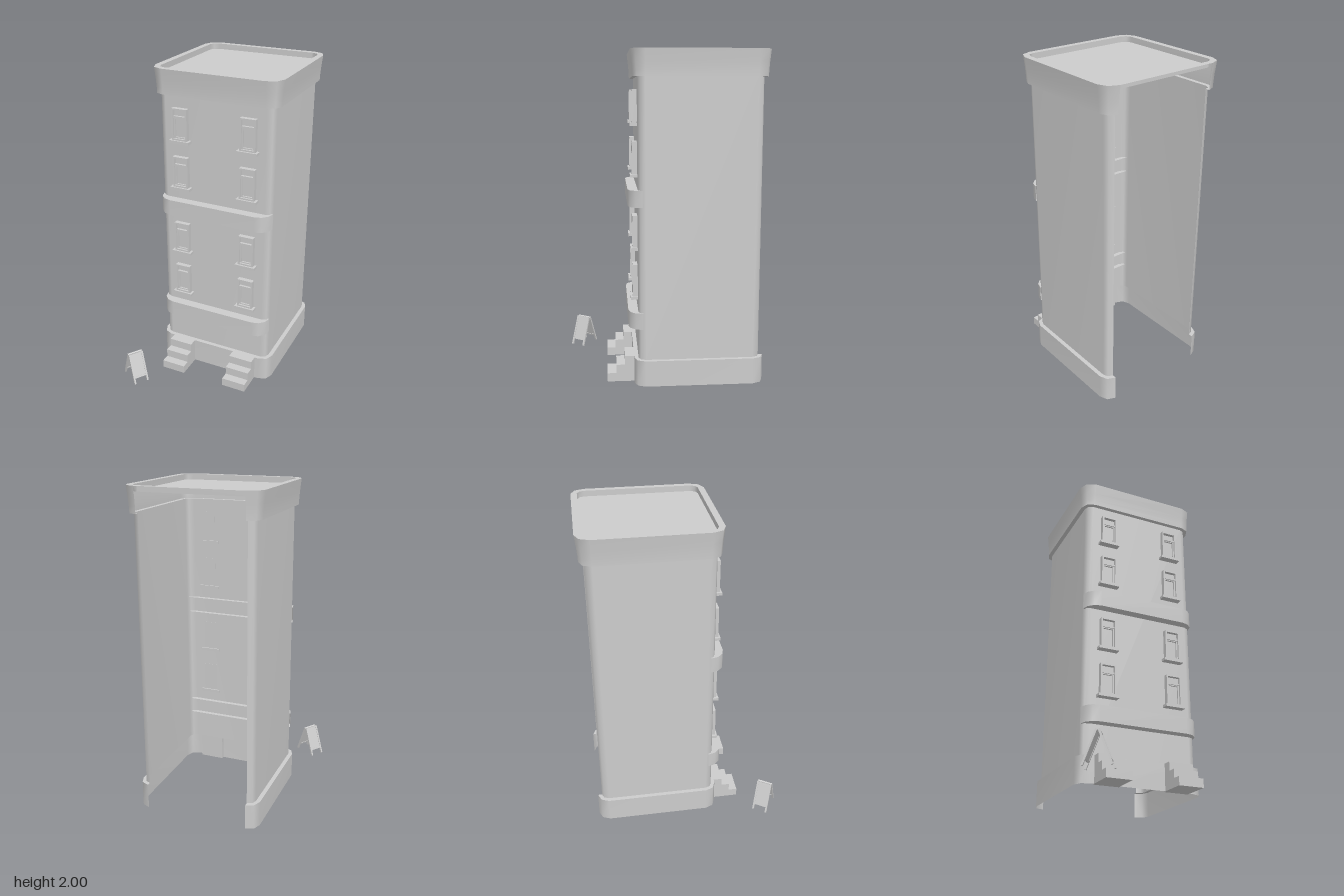
import * as THREE from 'three';

const mat = new THREE.MeshStandardMaterial({ color: 0xcccccc, side: THREE.DoubleSide });
const CX = 0.048, CZ = -0.203; // centre of the tower
const CORE = 0.325, R = 0.043; // corner centres and wall corner radius

function add(parent, name, geometry, x = 0, y = 0, z = 0) {
  const mesh = new THREE.Mesh(geometry, mat);
  mesh.name = name;
  mesh.position.set(x, y, z);
  parent.add(mesh);
  return mesh;
}

// Rounded corners listed from back left, round the front, to back right
function cornerPath(hx, hz, cz, quarters, steps, closed) {
  const path = [];
  for (const q of quarters) {
    for (let i = 0; i <= steps; i++) {
      const a = (q - 1 + i / steps) * Math.PI / 2;
      path.push({
        x: CX + (q === 0 || q === 1 ? hx : -hx),
        z: cz + (q === 1 || q === 2 ? hz : -hz),
        nx: Math.cos(a), nz: Math.sin(a)
      });
    }
  }
  if (closed) path.push(path[0]);
  return path;
}

// Sheet swept along a corner path; profile points are [radius, height]
function sweep(path, profile) {
  const pos = [], index = [], n = path.length;
  for (const [r, y] of profile) {
    for (const p of path) pos.push(p.x + p.nx * r, y, p.z + p.nz * r);
  }
  for (let j = 0; j < profile.length - 1; j++) {
    for (let i = 0; i < n - 1; i++) {
      const a = j * n + i, b = a + n;
      index.push(a, b, a + 1, b, b + 1, a + 1);
    }
  }
  const g = new THREE.BufferGeometry();
  g.setAttribute('position', new THREE.Float32BufferAttribute(pos, 3));
  g.setIndex(index);
  g.computeVertexNormals();
  return g;
}

// Flat horizontal sheet filling a corner path
function sheet(path, r) {
  const pts = path.map(p => new THREE.Vector2(p.x + p.nx * r, -(p.z + p.nz * r)));
  return new THREE.ShapeGeometry(new THREE.Shape(pts)).rotateX(-Math.PI / 2);
}

// Rectangular frame with its back on z = 0
function frame(w, h, t, depth) {
  const s = new THREE.Shape();
  s.moveTo(-w / 2, 0).lineTo(w / 2, 0).lineTo(w / 2, h).lineTo(-w / 2, h).closePath();
  const hole = new THREE.Path();
  hole.moveTo(-w / 2 + t, t).lineTo(-w / 2 + t, h - t).lineTo(w / 2 - t, h - t).lineTo(w / 2 - t, t).closePath();
  s.holes.push(hole);
  return new THREE.ExtrudeGeometry(s, { depth, bevelEnabled: false });
}

function makeWindow() {
  const g = new THREE.Group();
  g.name = 'window';
  add(g, 'windowFrame', frame(0.1, 0.195, 0.01, 0.03));
  add(g, 'lowerSash', frame(0.08, 0.13, 0.009, 0.018), 0, 0.008, 0);
  add(g, 'transom', new THREE.BoxGeometry(0.082, 0.012, 0.024), 0, 0.141, 0.012);
  add(g, 'glass', new THREE.BoxGeometry(0.082, 0.178, 0.01), 0, 0.097, 0.003);
  add(g, 'sill', new THREE.BoxGeometry(0.13, 0.017, 0.052), 0, -0.008, 0.016);
  return g;
}

function makeSteps() {
  const s = new THREE.Shape();
  s.moveTo(0.17, 0).lineTo(0.355, 0).lineTo(0.355, 0.053).lineTo(0.3, 0.053).lineTo(0.3, 0.106)
    .lineTo(0.247, 0.106).lineTo(0.247, 0.16).lineTo(0.17, 0.16).closePath();
  const g = new THREE.ExtrudeGeometry(s, { depth: 0.157, bevelEnabled: false });
  return g.translate(0, 0, -0.0785).rotateY(-Math.PI / 2);
}

// Folding pavement board: two leaning framed panels
function makeBoard() {
  const g = new THREE.Group();
  g.name = 'pavementBoard';
  for (const side of [0, 1]) {
    const turn = new THREE.Group();
    turn.rotation.y = side * Math.PI;
    const leaf = new THREE.Group();
    leaf.name = 'boardLeaf';
    leaf.position.set(0, 0.19, 0.006);
    leaf.rotation.x = -0.37;
    for (const x of [-0.044, 0.044]) add(leaf, 'leg', new THREE.BoxGeometry(0.011, 0.2, 0.011), x, -0.1, 0);
    add(leaf, 'topRail', new THREE.BoxGeometry(0.08, 0.011, 0.011), 0, -0.006, 0);
    add(leaf, 'bottomRail', new THREE.BoxGeometry(0.08, 0.011, 0.011), 0, -0.158, 0);
    add(leaf, 'panel', new THREE.BoxGeometry(0.08, 0.15, 0.005), 0, -0.082, 0);
    turn.add(leaf);
    g.add(turn);
  }
  g.position.set(-0.364, 0, 0.519);
  g.rotation.y = 0.985;
  return g;
}

export function createModel() {
  const model = new THREE.Group();
  model.name = 'townhouse';
  const open = cornerPath(CORE, CORE, CZ, [0, 1, 2, 3], 2, false);
  const closed = cornerPath(CORE, CORE, CZ, [0, 1, 2, 3], 2, true);

  // Walls and plinth, open at the back
  add(model, 'walls', sweep(open, [[R, 0.16], [R, 1.845]]));
  add(model, 'plinth', sweep(open, [[R + 0.026, 0], [R + 0.026, 0.16]]));
  add(model, 'plinthLedge', sweep(open, [[R + 0.026, 0.16], [R, 0.16]]));

  // Flared cornice, rim and sunken roof
  add(model, 'corniceUnderside', sweep(open, [[R, 1.845], [R + 0.027, 1.845]]));
  add(model, 'cornice', sweep(open, [[R + 0.027, 1.845], [R + 0.028, 1.88], [R + 0.032, 1.93], [R + 0.04, 2]]));
  add(model, 'roofRim', sweep(closed, [[R + 0.04, 2], [R + 0.002, 2]]));
  add(model, 'roofLip', sweep(closed, [[R + 0.002, 2], [R + 0.002, 1.965]]));
  add(model, 'roof', sheet(open, R + 0.002), 0, 1.965, 0);

  // Projecting front bands, hollow inside
  const bandPath = cornerPath(0.283, 0, 0.137, [1, 2], 3, false);
  for (const y of [0.35, 1.09]) {
    add(model, 'bandFace', sweep(bandPath, [[0.087, y], [0.087, y + 0.1]]));
    add(model, 'bandTop', sheet(bandPath, 0.087), 0, y + 0.1, 0);
    add(model, 'bandBottom', sheet(bandPath, 0.087), 0, y, 0);
  }

  // Windows in two columns
  for (const x of [-0.172, 0.268]) {
    for (const y of [0.53, 0.833, 1.275, 1.577]) {
      const w = makeWindow();
      w.position.set(x, y, 0.166);
      model.add(w);
    }
  }

  // Entrance steps
  for (const x of [-0.173, 0.268]) add(model, 'steps', makeSteps(), x);

  model.add(makeBoard());
  return model;
}
